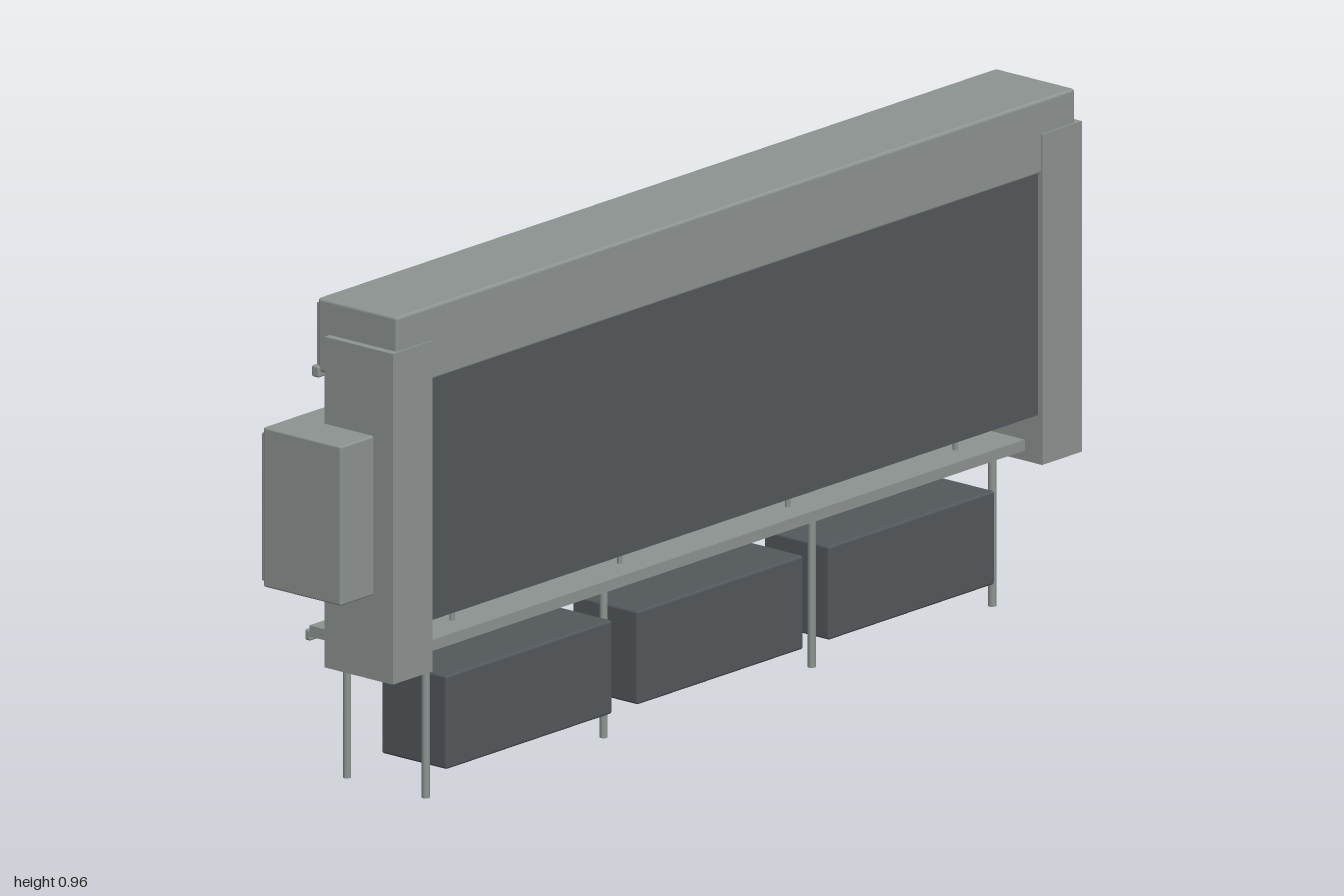
import * as THREE from 'three';
import { RoundedBoxGeometry } from 'three/addons/geometries/RoundedBoxGeometry.js';

export function createModel() {
  const root = new THREE.Group();
  root.name = 'foodCounter';
  const steel = new THREE.MeshStandardMaterial({ color: 0x8d9491 });
  steel.name = 'paleGreySteel';
  const dark = new THREE.MeshStandardMaterial({ color: 0x53585c });
  dark.name = 'darkGrey';

  const add = (name, geometry, material, x = 0, y = 0, z = 0, parent = root) => {
    const mesh = new THREE.Mesh(geometry, material);
    mesh.name = name;
    mesh.position.set(x, y, z);
    parent.add(mesh);
    return mesh;
  };
  // Box given by its limits; r rounds the edges
  const box = (name, material, [x0, x1], [y0, y1], [z0, z1], r = 0) => {
    const size = [x1 - x0, y1 - y0, z1 - z0];
    const geometry = r ? new RoundedBoxGeometry(...size, 2, r) : new THREE.BoxGeometry(...size);
    return add(name, geometry, material, (x0 + x1) / 2, (y0 + y1) / 2, (z0 + z1) / 2);
  };

  // Side columns and front panel
  box('rightColumn', steel, [-0.91, -0.8], [0.265, 0.893], [-0.022, 0.142]);
  box('leftColumn', steel, [0.89, 1.0], [0.265, 0.893], [-0.022, 0.142]);
  box('frontPanel', dark, [-0.8, 0.89], [0.358, 0.822], [0.118, 0.132]);

  // Overhead cabinet with a row of doors and a rail under them
  box('overheadCabinet', steel, [-0.895, 0.985], [0.817, 0.958], [-0.052, 0.139], 0.006);
  const seams = [-0.893, -0.587, -0.24, 0.085, 0.395, 0.705, 0.983];
  for (let i = 0; i < seams.length - 1; i++) {
    box('cabinetDoor', steel, [seams[i] + 0.003, seams[i + 1] - 0.003], [0.828, 0.947], [-0.057, -0.05]);
  }
  box('cabinetRail', steel, [-0.9, 0.985], [0.807, 0.829], [-0.063, -0.045], 0.004);

  // Counter with a rounded rear edge
  box('counter', steel, [-0.83, 0.945], [0.284, 0.305], [-0.128, 0.1]);
  box('counterEdge', steel, [-0.83, 0.945], [0.275, 0.296], [-0.14, -0.126], 0.004);

  // Counter legs, front and back
  const legGeometry = new THREE.CylinderGeometry(0.0075, 0.0075, 0.285, 16);
  for (const x of [-0.745, -0.252, 0.325, 0.825]) {
    for (const z of [0.078, -0.111]) add('counterLeg', legGeometry, steel, x, 0.1425, z);
  }

  // Storage bins under the counter
  for (const x of [-0.485, 0.045, 0.575]) {
    box('storageBin', dark, [x - 0.23, x + 0.23], [0.05, 0.228], [-0.055, 0.102], 0.005);
  }

  // Raised shelf on thin posts
  box('shelf', steel, [-0.785, 0.79], [0.503, 0.516], [-0.09, 0.055]);
  const postGeometry = new THREE.CylinderGeometry(0.005, 0.005, 0.2, 12);
  for (const x of [-0.635, -0.17, 0.295, 0.76]) add('shelfPost', postGeometry, steel, x, 0.405, 0.046);

  // Stacks of plates
  const plateGeometry = new THREE.CylinderGeometry(0.043, 0.037, 0.0065, 28);
  for (let i = 0; i < 6; i++) {
    const stack = new THREE.Group();
    stack.name = 'plateStack';
    stack.position.set(-0.512 + i * 0.2145, 0.516, -0.025);
    root.add(stack);
    for (let k = 0; k < 6; k++) add('plate', plateGeometry, steel, 0, 0.0045 + k * 0.0068, 0, stack);
  }

  // Bottles in two staggered rows
  const bottleProfile = [[0, 0], [0.014, 0], [0.0145, 0.003], [0.0145, 0.04], [0.012, 0.047],
    [0.0065, 0.053], [0.006, 0.068], [0.005, 0.071], [0, 0.071]]
    .map(([r, y]) => new THREE.Vector2(r, y));
  const bottleGeometry = new THREE.LatheGeometry(bottleProfile, 18);
  for (let i = 0; i < 8; i++) {
    add('bottle', bottleGeometry, i % 2 ? dark : steel, -0.663 + i * 0.115, 0.305, i % 2 ? 0 : -0.021);
  }

  // Side cupboard with a door and a bent handle
  box('sideCupboard', steel, [-1, -0.8], [0.425, 0.728], [-0.092, 0.095], 0.004);
  box('cupboardDoor', steel, [-0.993, -0.807], [0.433, 0.715], [-0.102, -0.09], 0.003);
  const handlePoints = [[0.616, -0.1], [0.607, -0.119], [0.556, -0.119], [0.547, -0.1]]
    .map(([y, z]) => new THREE.Vector3(-0.838, y, z));
  const handlePath = new THREE.CurvePath();
  for (let i = 0; i < 3; i++) handlePath.add(new THREE.LineCurve3(handlePoints[i], handlePoints[i + 1]));
  add('cupboardHandle', new THREE.TubeGeometry(handlePath, 30, 0.0025, 8), dark);

  // Fan: wire guard, blades and hub, facing the back
  const fan = new THREE.Group();
  fan.name = 'fan';
  fan.position.set(-0.7, 0.803, -0.086);
  root.add(fan);
  for (const r of [0.022, 0.036, 0.05, 0.063]) {
    add('guardRing', new THREE.TorusGeometry(r, 0.0012, 6, 36), steel, 0, 0, 0, fan);
  }
  const spokeGeometry = new THREE.CylinderGeometry(0.001, 0.001, 0.126, 6);
  for (let i = 0; i < 6; i++) {
    add('guardSpoke', spokeGeometry, steel, 0, 0, 0, fan).rotation.z = (i * Math.PI) / 6;
  }
  const bladeGeometry = new THREE.BoxGeometry(0.018, 0.032, 0.002).translate(0, 0.028, 0);
  for (let i = 0; i < 4; i++) {
    const blade = add('fanBlade', bladeGeometry, steel, 0, 0, 0.002, fan);
    blade.rotation.z = (i * Math.PI) / 2 + 0.4;
  }
  const hub = add('fanHub', new THREE.CylinderGeometry(0.014, 0.014, 0.011, 20), steel, 0, 0, -0.006, fan);
  hub.rotation.x = Math.PI / 2;

  return root;
}
